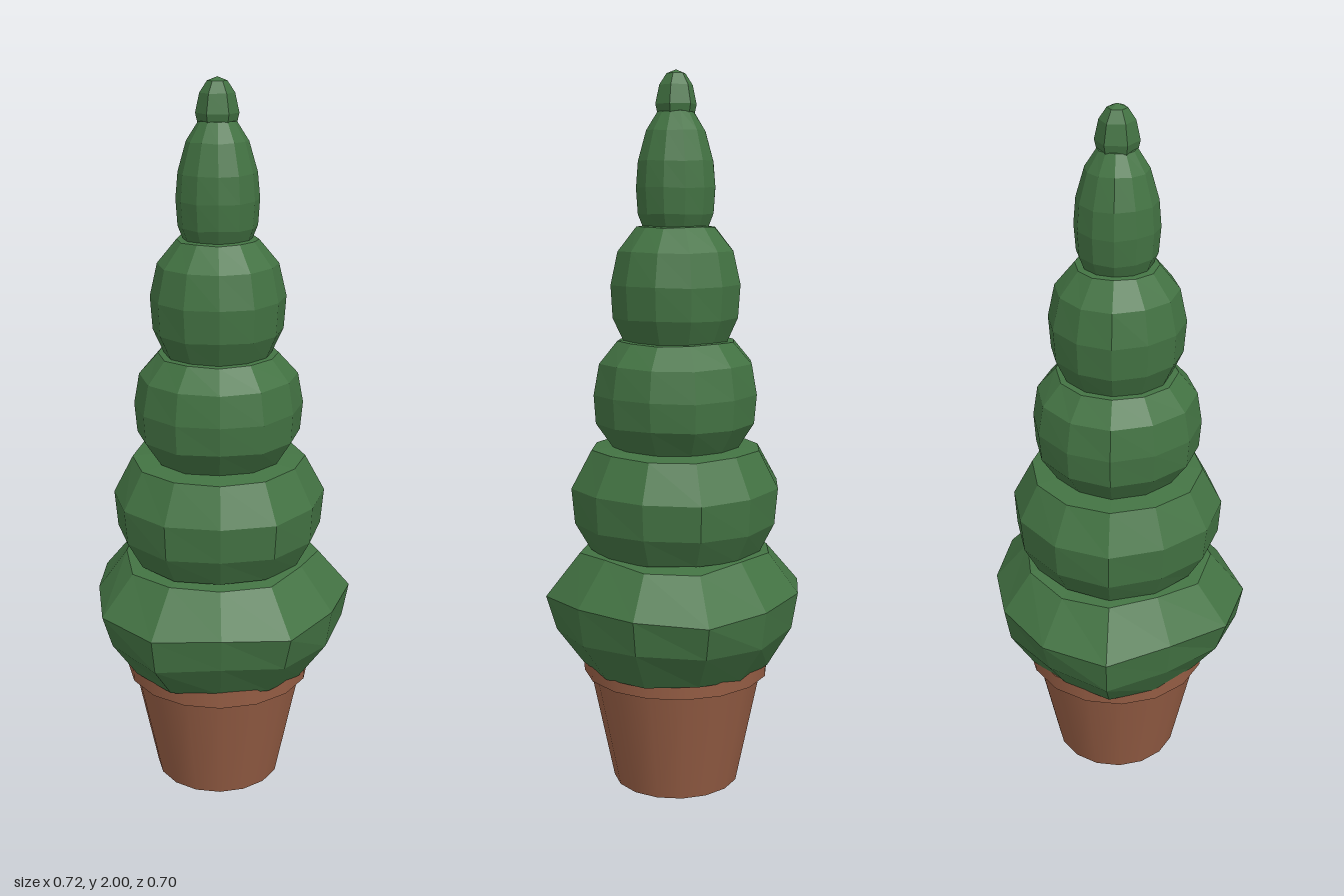
import * as THREE from 'three';

const AXIS_X = -0.02, AXIS_Z = 0.003;

// Lumpiness of the foliage around the trunk, from front (+z) towards +x
const LUMPS = [0.95, 1.01, 0.98, 1.05, 1.05, 0.97, 0.985, 0.98, 1.04, 0.95, 1.01, 1.02];

// Each tier: [radius, height] from bottom to top, and how uneven it is
const TIERS = [
  { lump: 1.0, profile: [[0, 0.36], [0.27, 0.36], [0.345, 0.47], [0.366, 0.57], [0.272, 0.685], [0, 0.72]] },
  { lump: 0.3, profile: [[0, 0.67], [0.245, 0.69], [0.288, 0.77], [0.296, 0.87], [0.24, 0.975], [0, 1.0]] },
  { lump: 0.25, profile: [[0, 0.96], [0.18, 0.98], [0.226, 1.05], [0.232, 1.13], [0.217, 1.215], [0.165, 1.275], [0, 1.29]] },
  { lump: 0.2, profile: [[0, 1.25], [0.145, 1.27], [0.177, 1.34], [0.183, 1.43], [0.163, 1.52], [0.11, 1.585], [0, 1.6]] },
  { lump: 0.2, profile: [[0, 1.56], [0.088, 1.575], [0.106, 1.62], [0.111, 1.69], [0.105, 1.76], [0.082, 1.84], [0.05, 1.89], [0, 1.9]] },
];

function lathe(profile, sides, start = 0) {
  return new THREE.LatheGeometry(profile.map(([r, y]) => new THREE.Vector2(r, y)), sides, start);
}

// Push each vertex in or out, with a small shift from ring to ring
function makeLumpy(geometry, rings, amount, tier) {
  const p = geometry.attributes.position;
  for (let k = 0; k < p.count; k++) {
    const side = Math.floor(k / rings) % 12, ring = k % rings;
    const ripple = 0.015 * Math.sin(side * 2.1 + ring * 1.7 + tier);
    const s = 1 + (LUMPS[side] - 1 + ripple) * amount;
    const rise = ring > 0 && ring < rings - 1 ? 0.008 * amount * Math.sin(side * 1.9 + ring) : 0;
    p.setXYZ(k, p.getX(k) * s, p.getY(k) + rise, p.getZ(k) * s);
  }
  geometry.computeVertexNormals();
  return geometry;
}

export function createModel() {
  const model = new THREE.Group();
  model.name = 'pottedTopiary';

  const leaf = new THREE.MeshStandardMaterial({ color: 0x437343, flatShading: true });
  leaf.name = 'leaf green';
  const clay = new THREE.MeshStandardMaterial({ color: 0x955d44 });
  clay.name = 'terracotta';

  const add = (name, geometry, material) => {
    const mesh = new THREE.Mesh(geometry, material);
    mesh.name = name;
    mesh.position.set(AXIS_X, mesh.position.y, AXIS_Z);
    model.add(mesh);
    return mesh;
  };

  // Tapered pot with a wider rim
  add('pot', new THREE.CylinderGeometry(0.247, 0.18, 0.325, 16), clay).position.y = 0.1625;
  add('potRim', new THREE.CylinderGeometry(0.266, 0.264, 0.05, 16), clay).position.y = 0.35;

  // Stacked foliage tiers
  TIERS.forEach(({ profile, lump }, i) => {
    add(`foliageTier${i + 1}`, makeLumpy(lathe(profile, 12), profile.length, lump, i), leaf);
  });

  // Six-sided bud at the top
  add('topBud', lathe([[0, 1.87], [0.05, 1.88], [0.057, 1.91], [0.046, 1.96], [0.026, 1.99], [0, 2]], 6, Math.PI / 2), leaf);

  return model;
}
